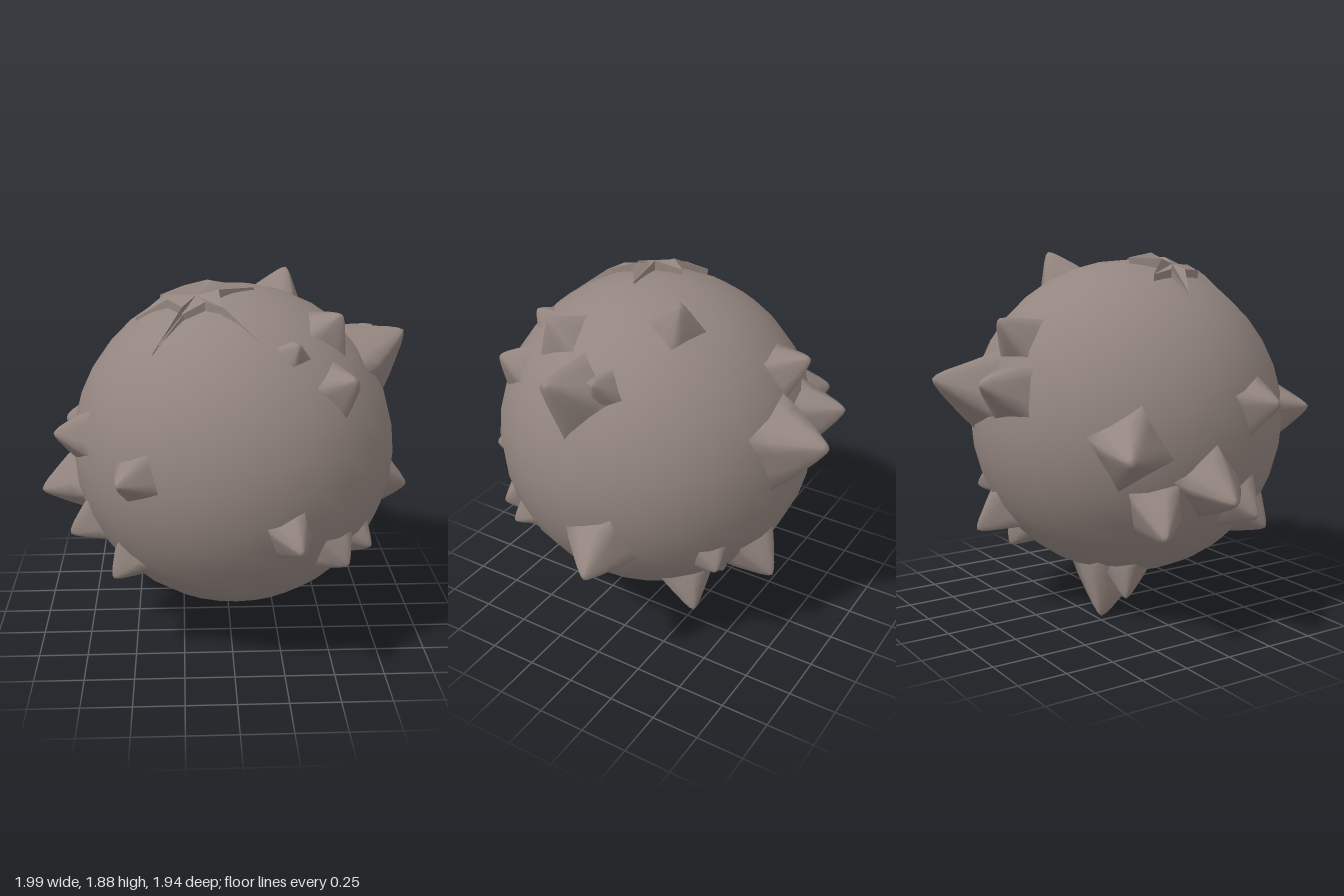
import * as THREE from 'three';

const CENTER = new THREE.Vector3(0.02, 1.01, 0.08);
const RADIUS = 0.832;
const UP = new THREE.Vector3(0, 1, 0);

// tip x, y, z, base side length, roll in degrees
const SPIKES = [
  // front
  [-0.55, 1.07, 0.87, 0.21, 22], [0.30, 0.76, 0.97, 0.21, 21],
  [0.55, 0.59, 0.73, 0.21, 0], [0.69, 0.61, 0.55, 0.18, 35],
  [-0.60, 0.46, 0.55, 0.22, 42],
  // upper left
  [0.57, 1.50, 0.66, 0.23, 32], [0.30, 1.66, 0.62, 0.165, 16],
  [0.53, 1.75, 0.37, 0.24, 34], [0.88, 1.62, 0.14, 0.30, -38],
  [0.75, 1.61, -0.03, 0.18, 31], [0.31, 1.88, -0.23, 0.23, 22],
  // left side
  [0.99, 0.69, -0.11, 0.28, 24],
  // right side
  [-0.88, 1.17, 0.38, 0.24, 20], [-1.0, 0.74, 0.03, 0.28, 40],
  [-0.83, 0.60, 0.30, 0.24, 20], [-0.91, 0.98, -0.50, 0.30, 30],
  [-0.87, 0.58, -0.28, 0.25, 10],
  // back
  [0.18, 1.27, -0.97, 0.33, 20], [-0.19, 1.28, -0.89, 0.26, 8],
  [-0.08, 1.57, -0.73, 0.23, 5], [0.52, 0.61, -0.57, 0.18, 0],
  [0.21, 0.45, -0.73, 0.24, 12],
  // underside
  [0.46, 0.26, -0.41, 0.24, 24], [-0.20, 0.0, -0.22, 0.28, 40],
  [-0.33, 0.12, -0.15, 0.20, 20],
];

// Square spike along +z, softened towards its tip
function spikeGeometry(side, height) {
  const rings = [[0, 1.04, 0], [0.3, 0.8, 0.1], [0.55, 0.57, 0.25], [0.8, 0.32, 0.45], [0.94, 0.14, 0.7]];
  const n = 16, pos = [], idx = [];
  for (const [t, scale, round] of rings) {
    for (let i = 0; i < n; i++) {
      const a = (i / n) * Math.PI * 2 + Math.PI / 4;
      const c = Math.cos(a), s = Math.sin(a);
      const square = 1 / Math.max(Math.abs(c), Math.abs(s));
      const r = (side / 2) * scale * THREE.MathUtils.lerp(square, 1.12, round);
      pos.push(c * r, s * r, t * height);
    }
  }
  pos.push(0, 0, height);
  const tip = rings.length * n;
  for (let k = 0; k < rings.length; k++) {
    for (let i = 0; i < n; i++) {
      const j = (i + 1) % n, a = k * n + i, b = k * n + j;
      if (k === rings.length - 1) idx.push(a, b, tip);
      else idx.push(a, b, b + n, a, b + n, a + n);
    }
  }
  const g = new THREE.BufferGeometry();
  g.setAttribute('position', new THREE.Float32BufferAttribute(pos, 3));
  g.setIndex(idx);
  g.computeVertexNormals();
  return g;
}

// Point above (or below) the body surface at a given x, z
function onBody(x, z, lift) {
  const dx = x - CENTER.x, dz = z - CENTER.z;
  const y = Math.sqrt(RADIUS * RADIUS - dx * dx - dz * dz);
  return [x, CENTER.y + y + lift, z];
}

// Ragged star on the crown: outline of x, z, lift, going round from the back
function starGeometry() {
  const outline = [
    [-0.35, 0.0, 0.03], [-0.23, 0.13, 0.05], [-0.11, 0.01, 0.03], [-0.09, 0.16, 0.05],
    [0.12, 0.15, 0.01], [-0.06, 0.27, 0.04], [-0.05, 0.42, 0.03], [0.12, 0.58, 0.0],
    [-0.04, 0.42, 0.03], [-0.13, 0.37, 0.04], [-0.23, 0.40, 0.03], [-0.38, 0.51, 0.0],
    [-0.24, 0.36, 0.04], [-0.31, 0.22, 0.04], [-0.47, 0.13, 0.01], [-0.33, 0.12, 0.04],
  ];
  const mid = onBody(-0.17, 0.24, 0.02), pos = [];
  outline.forEach((p, i) => {
    const q = outline[(i + 1) % outline.length];
    const a = onBody(...p), b = onBody(...q);
    const a0 = onBody(p[0], p[1], -0.05), b0 = onBody(q[0], q[1], -0.05);
    pos.push(...mid, ...b, ...a, ...a, ...b, ...b0, ...a, ...b0, ...a0);
  });
  const g = new THREE.BufferGeometry();
  g.setAttribute('position', new THREE.Float32BufferAttribute(pos, 3));
  g.computeVertexNormals();
  return g;
}

export function createModel() {
  const model = new THREE.Group();
  model.name = 'spikyBall';
  const stone = new THREE.MeshStandardMaterial({ color: 0x93857f, side: THREE.DoubleSide });
  stone.name = 'greyBrown';

  // Round body
  const body = new THREE.Mesh(new THREE.SphereGeometry(RADIUS, 28, 18), stone);
  body.name = 'body';
  body.position.copy(CENTER);
  model.add(body);

  // Spikes, each pointing out from the centre
  const spikes = new THREE.Group();
  spikes.name = 'spikes';
  const rootRadius = RADIUS - 0.045;
  for (const [x, y, z, side, roll] of SPIKES) {
    const out = new THREE.Vector3(x, y, z).sub(CENTER);
    const length = out.length();
    out.normalize();
    const across = new THREE.Vector3().crossVectors(UP, out).normalize();
    const along = new THREE.Vector3().crossVectors(out, across);
    const spike = new THREE.Mesh(spikeGeometry(side, length - rootRadius), stone);
    spike.name = 'spike';
    spike.quaternion.setFromRotationMatrix(new THREE.Matrix4().makeBasis(across, along, out));
    spike.rotateZ(THREE.MathUtils.degToRad(roll));
    spike.position.copy(CENTER).addScaledVector(out, rootRadius);
    spikes.add(spike);
  }
  model.add(spikes);

  // Star-shaped scar on top
  const star = new THREE.Mesh(starGeometry(), stone);
  star.name = 'crownStar';
  model.add(star);
  return model;
}
